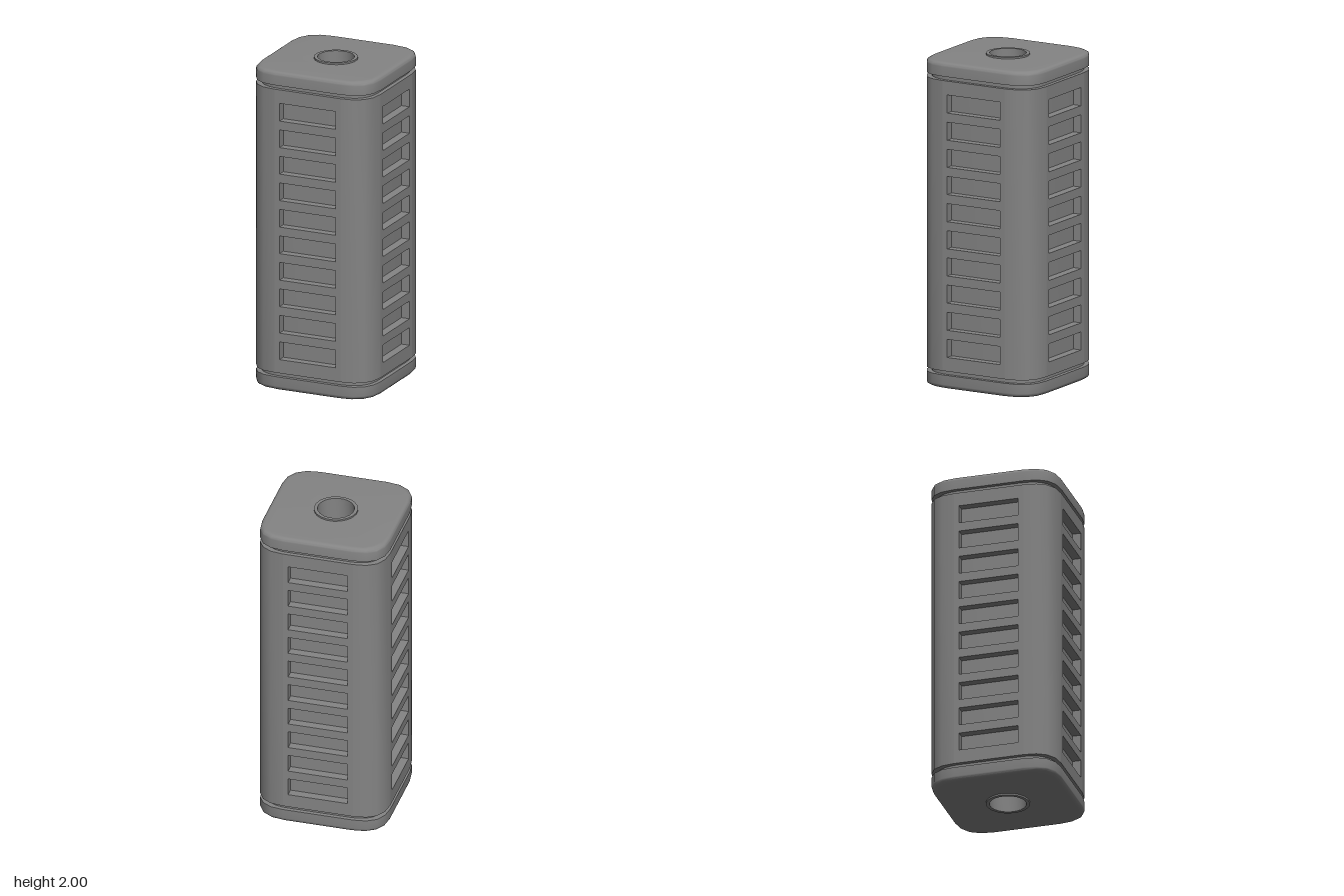
import * as THREE from 'three';
import { mergeGeometries, mergeVertices, toCreasedNormals } from 'three/addons/utils/BufferGeometryUtils.js';

const HALF = 0.395, FLAT = 0.215, DEPTH = 0.053, INNER = HALF - DEPTH;
const BODY_TOP = 1.882, CAP_BASE = 1.907, CAP_TOP = 1.99;
const BODY_BASE = 2 - BODY_TOP;
const material = new THREE.MeshStandardMaterial({ color: 0x848484 });

function addMesh(parent, geometry, name) {
  const mesh = new THREE.Mesh(toCreasedNormals(geometry, 0.6), material);
  mesh.name = name;
  parent.add(mesh);
  return mesh;
}

// Square with soft corners, counter-clockwise
function outline(h) {
  const f = h - (HALF - FLAT);
  const s = new THREE.Shape();
  s.moveTo(h, -f);
  s.lineTo(h, f);
  s.quadraticCurveTo(h, h, f, h);
  s.lineTo(-f, h);
  s.quadraticCurveTo(-h, h, -h, f);
  s.lineTo(-h, -f);
  s.quadraticCurveTo(-h, -h, -f, -h);
  s.lineTo(f, -h);
  s.quadraticCurveTo(h, -h, h, -f);
  return s;
}

// The same square with room for the collar
function pierced(h) {
  const s = outline(h);
  s.holes.push(new THREE.Path().absarc(0, 0, 0.12, 0, Math.PI * 2, true));
  return s;
}

// Extrude a plan shape upward between two heights
function upright(shape, y0, y1) {
  const g = new THREE.ExtrudeGeometry(shape, { depth: y1 - y0, bevelEnabled: false, curveSegments: 10 });
  return g.rotateX(-Math.PI / 2).translate(0, y0, 0);
}

// Cap shell: wall with a rounded upper edge, plus a pierced lid and underside
function capGeometry() {
  const r = 0.025;
  const profile = [[0, CAP_BASE]];
  for (let i = 0; i <= 5; i++) {
    const a = (i / 5) * Math.PI / 2;
    profile.push([r * (1 - Math.cos(a)), CAP_TOP - r + r * Math.sin(a)]);
  }
  const rings = profile.map(([inset, y]) =>
    outline(HALF - inset).getPoints(4).map(p => [p.x, y, -p.y]));
  const n = rings[0].length;
  const index = [];
  for (let i = 0; i < rings.length - 1; i++) {
    for (let j = 0; j < n - 1; j++) {
      const a = i * n + j, b = a + 1, c = a + n, d = b + n;
      index.push(a, b, d, a, d, c);
    }
  }
  const wall = new THREE.BufferGeometry();
  wall.setAttribute('position', new THREE.Float32BufferAttribute(rings.flat(2), 3));
  wall.setIndex(index);

  const plate = (h, y, turn) => {
    const g = new THREE.ShapeGeometry(pierced(h), 4).rotateX(turn).translate(0, y, 0);
    g.deleteAttribute('uv');
    g.deleteAttribute('normal');
    return g;
  };
  return mergeVertices(mergeGeometries([
    wall,
    plate(HALF - r, CAP_TOP, -Math.PI / 2),
    plate(HALF, CAP_BASE, Math.PI / 2),
  ]), 1e-4);
}

export function createModel() {
  const model = new THREE.Group();
  model.name = 'ventedCasing';

  // Core that closes the slots from behind, bored along its axis
  const coreShape = pierced(INNER);
  addMesh(model, upright(coreShape, BODY_BASE + 0.01, BODY_TOP - 0.01), 'core');

  // Slotted panel with ten vents
  const panelShape = new THREE.Shape();
  const rect = (path, w, y0, y1) => path.moveTo(-w, y0).lineTo(w, y0).lineTo(w, y1).lineTo(-w, y1).closePath();
  rect(panelShape, FLAT, BODY_BASE, BODY_TOP);
  for (let i = 0; i < 10; i++) {
    const y = 0.2575 + i * (1.485 / 9);
    const slot = new THREE.Path();
    rect(slot, 0.183, y - 0.055, y + 0.055);
    panelShape.holes.push(slot);
  }
  const panel = new THREE.ExtrudeGeometry(panelShape, { depth: DEPTH, bevelEnabled: false });
  panel.translate(0, 0, INNER);

  // Rounded corner column
  const cornerShape = new THREE.Shape();
  cornerShape.moveTo(HALF, FLAT);
  cornerShape.quadraticCurveTo(HALF, HALF, FLAT, HALF);
  cornerShape.lineTo(FLAT, INNER - 0.07);
  cornerShape.lineTo(INNER - 0.07, FLAT);
  cornerShape.closePath();
  const corner = new THREE.ExtrudeGeometry(cornerShape,
    { depth: BODY_TOP - BODY_BASE, bevelEnabled: false, curveSegments: 4 });
  corner.rotateX(-Math.PI / 2).translate(0, BODY_BASE, 0);

  for (let i = 0; i < 4; i++) {
    addMesh(model, panel, 'ventPanel').rotation.y = i * Math.PI / 2;
    addMesh(model, corner, 'cornerColumn').rotation.y = i * Math.PI / 2;
  }

  // Matching ends: recessed neck, cap and collar lining a blind hole
  const neck = upright(pierced(0.37), BODY_TOP - 0.012, CAP_BASE + 0.003);
  const cap = capGeometry();
  const collarProfile = [[0.131, CAP_TOP - 0.02], [0.131, 2], [0.11, 2], [0.11, 1.8], [0, 1.8]];
  const collar = new THREE.LatheGeometry(
    collarProfile.map(p => new THREE.Vector2(...p)), 20, Math.PI / 20);
  for (const name of ['topEnd', 'bottomEnd']) {
    const end = new THREE.Group();
    end.name = name;
    addMesh(end, neck, 'neck');
    addMesh(end, cap, 'cap');
    addMesh(end, collar, 'collar');
    if (name === 'bottomEnd') {
      end.rotation.z = Math.PI;
      end.position.y = 2;
    }
    model.add(end);
  }
  return model;
}
